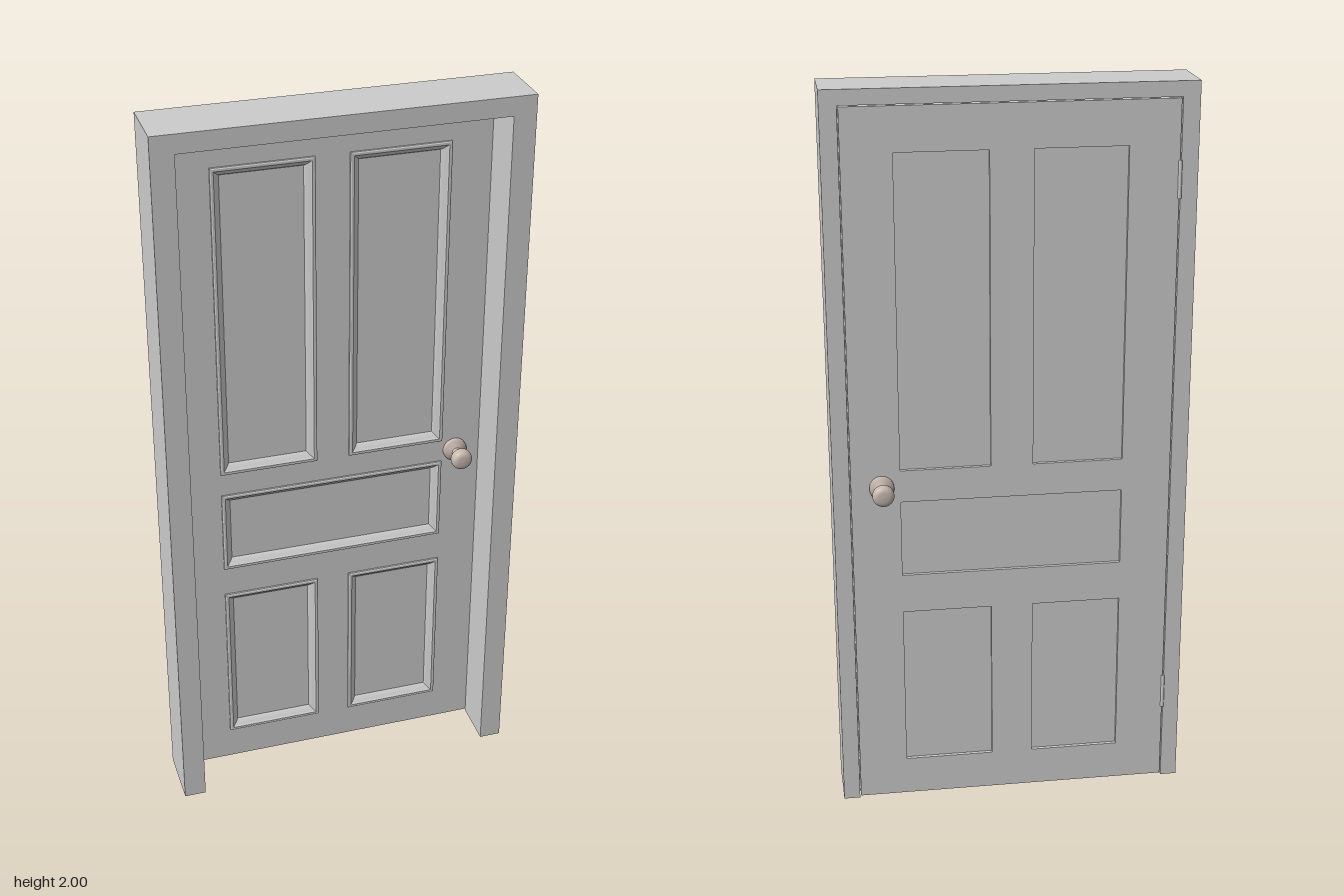
import * as THREE from 'three';

const BACK = -0.045, FACE = -0.01, FRONT = 0.12;
const W = 0.48, H = 2;

// Openings in the door: x0, x1, y0, y1
const OPENINGS = [
  [-0.3, -0.057, 0.99, 1.84], [0.057, 0.3, 0.99, 1.84],
  [-0.3, 0.3, 0.685, 0.9],
  [-0.3, -0.057, 0.115, 0.575], [0.057, 0.3, 0.115, 0.575],
];

const grey = new THREE.MeshStandardMaterial({ color: 0xcccccc });
const brass = new THREE.MeshStandardMaterial({ color: 0xc6b8ae });

function add(parent, name, geometry, material = grey) {
  const mesh = new THREE.Mesh(geometry, material);
  mesh.name = name;
  parent.add(mesh);
  return mesh;
}

function box(parent, name, x0, x1, y0, y1, z0, z1) {
  const mesh = add(parent, name, new THREE.BoxGeometry(x1 - x0, y1 - y0, z1 - z0));
  mesh.position.set((x0 + x1) / 2, (y0 + y1) / 2, (z0 + z1) / 2);
  return mesh;
}

function rectPoints(x0, x1, y0, y1) {
  return [[x0, y0], [x1, y0], [x1, y1], [x0, y1]].map(([x, y]) => new THREE.Vector2(x, y));
}

// Mitred rectangular moulding swept from (inset, z) profile points
function mouldingGeometry([x0, x1, y0, y1], profile) {
  const rings = profile.map(([inset, z]) =>
    rectPoints(x0 + inset, x1 - inset, y0 + inset, y1 - inset).map((p) => [p.x, p.y, z]));
  const positions = [];
  for (let i = 0; i < rings.length - 1; i++) {
    for (let k = 0; k < 4; k++) {
      const n = (k + 1) % 4;
      const a = rings[i][k], b = rings[i][n], c = rings[i + 1][n], d = rings[i + 1][k];
      positions.push(...a, ...b, ...c, ...a, ...c, ...d);
    }
  }
  const geometry = new THREE.BufferGeometry();
  geometry.setAttribute('position', new THREE.Float32BufferAttribute(positions, 3));
  geometry.computeVertexNormals();
  return geometry;
}

function createFrame() {
  const frame = new THREE.Group();
  frame.name = 'doorFrame';

  // Rabbeted side jambs, L-shaped in plan
  for (const side of [-1, 1]) {
    const plan = [[W, BACK], [W, FRONT], [0.42, FRONT], [0.42, FACE], [0.435, FACE], [0.435, BACK]]
      .map(([x, z]) => new THREE.Vector2(side * x, -z));
    const geometry = new THREE.ExtrudeGeometry(new THREE.Shape(plan), { depth: 1.96, bevelEnabled: false });
    geometry.rotateX(-Math.PI / 2);
    add(frame, side > 0 ? 'leftJamb' : 'rightJamb', geometry);
  }

  // Header in two strips with the stop in front of the door
  box(frame, 'headerBack', -W, W, 1.96, H, BACK, FACE);
  box(frame, 'headerFront', -W, W, 1.96, H, FACE, FRONT);
  box(frame, 'headerStop', -0.42, 0.42, 1.95, 1.96, FACE, FRONT);
  return frame;
}

function createDoor() {
  const door = new THREE.Group();
  door.name = 'door';

  // Stiles and rails
  const shape = new THREE.Shape(rectPoints(-0.432, 0.432, 0.006, 1.957));
  for (const o of OPENINGS) shape.holes.push(new THREE.Path(rectPoints(...o)));
  const slab = new THREE.ExtrudeGeometry(shape, { depth: FACE - BACK, bevelEnabled: false });
  slab.translate(0, 0, BACK);
  add(door, 'stilesAndRails', slab);

  // Recessed panels with raised moulding on the front
  const profile = [[0, -0.01], [0, -0.005], [0.003, -0.003], [0.009, -0.003],
    [0.012, -0.007], [0.018, -0.012], [0.023, -0.017], [0.026, -0.022]];
  for (const [x0, x1, y0, y1] of OPENINGS) {
    box(door, 'panel', x0, x1, y0, y1, -0.035, -0.022);
    const m = 0.012;
    add(door, 'panelMoulding', mouldingGeometry([x0 - m, x1 + m, y0 - m, y1 + m], profile));
  }
  return door;
}

function createKnob(name, z, direction) {
  const knob = new THREE.Group();
  knob.name = name;
  const points = (list) => list.map(([r, y]) => new THREE.Vector2(r, y));

  // Rosette plate with a stepped shoulder
  const rosette = new THREE.LatheGeometry(points([[0.033, 0], [0.033, 0.008], [0.031, 0.011],
    [0.025, 0.013], [0.02, 0.017], [0.013, 0.02]]), 32);
  add(knob, 'rosette', rosette, brass);

  // Neck flaring into the rounded grip
  const profile = new THREE.SplineCurve(points([[0.014, 0.018], [0.011, 0.026], [0.012, 0.036],
    [0.019, 0.042], [0.027, 0.047], [0.029, 0.057], [0.027, 0.068], [0.02, 0.074], [0.012, 0.076], [0, 0.077]]));
  const grip = profile.getPoints(30);
  grip.forEach((p) => { p.x = Math.max(p.x, 0); });
  add(knob, 'grip', new THREE.LatheGeometry(grip, 32), brass);

  knob.rotation.x = direction * Math.PI / 2;
  knob.position.set(0.35, 0.945, z);
  return knob;
}

export function createModel() {
  const model = new THREE.Group();
  model.name = 'panelledDoor';
  model.add(createFrame(), createDoor());
  model.add(createKnob('frontKnob', FACE, 1), createKnob('backKnob', BACK, -1));

  // Hinge knuckles on the back edge
  for (const y of [0.275, 1.75]) {
    const hinge = add(model, 'hinge', new THREE.CylinderGeometry(0.005, 0.005, 0.1, 12));
    hinge.position.set(-0.433, y, BACK);
  }
  return model;
}
